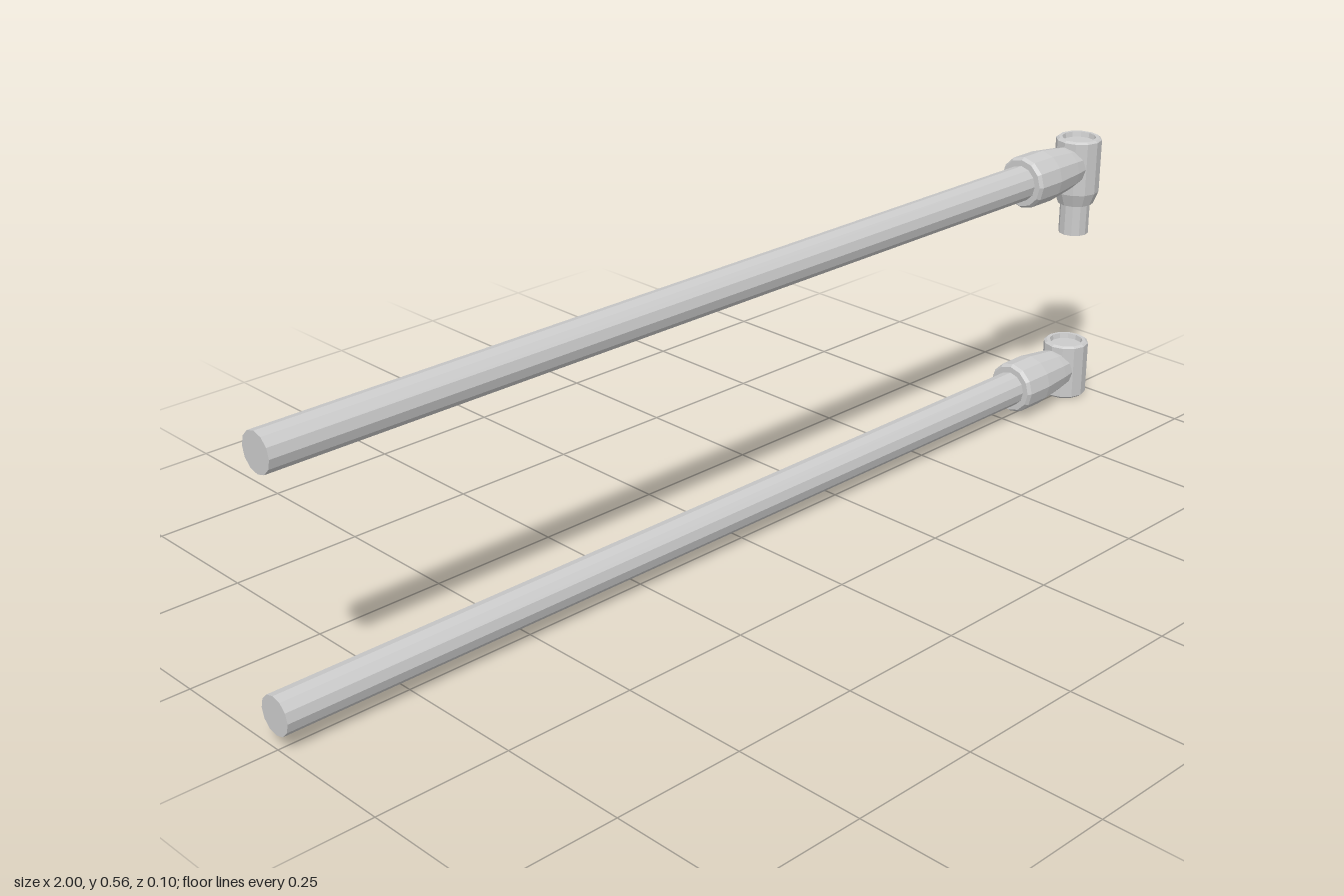
import * as THREE from 'three';

const SIDES = 12;
const POST_X = 0.952;
const material = new THREE.MeshStandardMaterial({ color: 0xcccccc, flatShading: true });

// Faceted solid of revolution; profile is [radius, height] from bottom to top
function turned(name, profile) {
  const points = profile.map(([r, h]) => new THREE.Vector2(r, h));
  const mesh = new THREE.Mesh(new THREE.LatheGeometry(points, SIDES), material);
  mesh.name = name;
  return mesh;
}

// Same, laid along +x
function turnedAlongX(name, profile, y) {
  const mesh = turned(name, profile);
  mesh.rotation.z = -Math.PI / 2;
  mesh.position.y = y;
  return mesh;
}

// Chamfered rim with a shallow round recess in the top
const rim = (top) => [
  [0.046, top - 0.004], [0.041, top], [0.034, top], [0.032, top - 0.01], [0, top - 0.01],
];

function createRail(name, y, startX, postProfile) {
  const rail = new THREE.Group();
  rail.name = name;

  // Long round bar, closed at both ends
  rail.add(turnedAlongX('bar', [[0, startX], [0.035, startX], [0.035, 0.8], [0, 0.8]], y));

  // Sleeve gripping the bar and narrowing into the post
  rail.add(turnedAlongX('collar', [
    [0, 0.77], [0.047, 0.77], [0.052, 0.777], [0.052, 0.835],
    [0.044, 0.9], [0.038, 0.935], [0, 0.935],
  ], y));

  // Upright end fitting
  const post = turned('post', postProfile);
  post.position.x = POST_X;
  rail.add(post);
  return rail;
}

export function createModel() {
  const model = new THREE.Group();
  model.name = 'railPair';

  // Lower rail with a plain socket post
  model.add(createRail('lowerRail', 0.061, -1, [
    [0, 0], [0.04, 0], [0.046, 0.005], ...rim(0.117),
  ]));

  // Upper rail whose post tapers to a plug pin
  model.add(createRail('upperRail', 0.5, -0.988, [
    [0, 0.355], [0.03, 0.355], [0.03, 0.419], [0.036, 0.419], [0.046, 0.445], ...rim(0.556),
  ]));
  return model;
}
